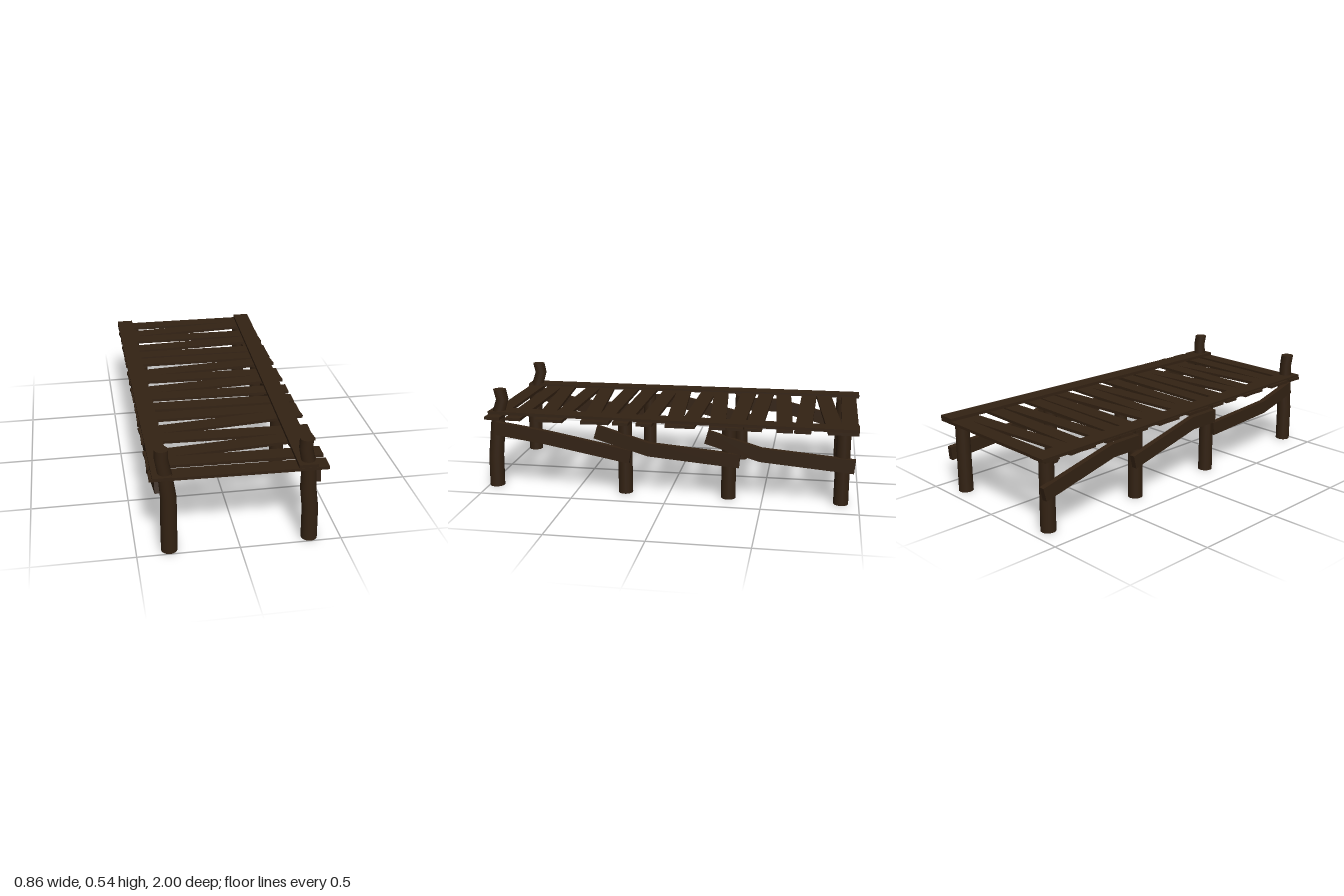
import * as THREE from 'three';

const wood = new THREE.MeshStandardMaterial({ color: 0x332213 });

export function createModel() {
  const model = new THREE.Group();
  const add = (name, geometry) => {
    const mesh = new THREE.Mesh(geometry, wood);
    mesh.name = name;
    model.add(mesh);
    return mesh;
  };

  // Flat board lying between two points [x, z] at height y
  const board = (name, [x0, z0], [x1, z1], y, width, thickness) => {
    const length = Math.hypot(x1 - x0, z1 - z0);
    const mesh = add(name, new THREE.BoxGeometry(length, thickness, width));
    mesh.position.set((x0 + x1) / 2, y, (z0 + z1) / 2);
    mesh.rotation.y = -Math.atan2(z1 - z0, x1 - x0);
  };

  // Crooked round post through rings [x, y, z, radius], bottom to top
  const post = (name, rings) => {
    const n = rings.length - 1;
    const geometry = new THREE.CylinderGeometry(1, 1, 1, 18, n);
    const p = geometry.attributes.position;
    for (let i = 0; i < p.count; i++) {
      const [x, y, z, r] = rings[Math.round((p.getY(i) + 0.5) * n)];
      p.setXYZ(i, x + p.getX(i) * r, y, z + p.getZ(i) * r);
    }
    geometry.computeVertexNormals();
    // keep the caps flat and the sides round
    const normal = geometry.attributes.normal;
    const sideCount = 19 * (n + 1);
    for (let i = 0; i < sideCount; i++) {
      const a = ((i % 19) / 18) * Math.PI * 2;
      normal.setXYZ(i, Math.sin(a), 0, Math.cos(a));
    }
    add(name, geometry);
  };

  // Bent flat brace following three points [z, y] at a given x
  const brace = (name, x, path, height = 0.072, thickness = 0.03) => {
    const pts = path.map(([z, y]) => new THREE.Vector2(z, y));
    const offset = (i, side) => {
      const a = pts[Math.max(i - 1, 0)];
      const b = pts[Math.min(i + 1, pts.length - 1)];
      const d = b.clone().sub(a).normalize();
      return new THREE.Vector2(-d.y, d.x).multiplyScalar(side * height / 2).add(pts[i]);
    };
    const outline = [...pts.map((_, i) => offset(i, 1)), ...pts.map((_, i) => offset(i, -1)).reverse()];
    const geometry = new THREE.ExtrudeGeometry(new THREE.Shape(outline), { depth: thickness, bevelEnabled: false });
    geometry.translate(0, 0, -thickness / 2);
    geometry.rotateY(-Math.PI / 2);
    add(name, geometry).position.x = x;
  };

  // Deck planks: z at the right end (-x) and at the left end (+x)
  const planks = [
    [-0.94, -0.94], [-0.79, -0.87], [-0.715, -0.70], [-0.56, -0.61], [-0.465, -0.45],
    [-0.36, -0.355], [-0.19, -0.265], [-0.125, -0.105], [0.035, -0.035], [0.105, 0.12],
    [0.23, 0.245], [0.345, 0.35], [0.505, 0.415], [0.575, 0.60], [0.745, 0.665],
    [0.815, 0.83], [0.93, 0.945],
  ];
  planks.forEach(([zr, zl], i) =>
    board('deckPlank' + (i + 1), [-0.428, zr], [0.425, zl], 0.397, 0.085, 0.015));

  // Long edge boards on top of the planks
  board('rightEdgeBoard', [-0.382, -1], [-0.368, 0.985], 0.406, 0.092, 0.016);
  board('leftEdgeBoard', [0.378, -0.985], [0.323, 0.985], 0.413, 0.092, 0.016);

  // Front posts rise above the deck with a kink
  post('frontRightPost', [
    [-0.34, 0, 0.96, 0.04], [-0.34, 0.2, 0.958, 0.04], [-0.338, 0.29, 0.95, 0.039],
    [-0.35, 0.4, 0.94, 0.035], [-0.365, 0.48, 0.918, 0.033], [-0.365, 0.535, 0.93, 0.034],
  ]);
  post('frontLeftPost', [
    [0.348, 0, 0.96, 0.04], [0.346, 0.17, 0.958, 0.04], [0.334, 0.28, 0.95, 0.039],
    [0.335, 0.4, 0.94, 0.035], [0.322, 0.48, 0.918, 0.033], [0.322, 0.535, 0.93, 0.034],
  ]);

  // Straight posts under the deck
  [0.235, -0.32, -0.908].forEach((z, i) => {
    for (const [side, x] of [['Right', -0.34], ['Left', 0.348]]) {
      post('straight' + side + 'Post' + (i + 1), [[x, 0, z, 0.039], [x, 0.392, z, 0.037]]);
    }
  });

  // Sloping braces on the outside of the posts
  brace('leftBrace1', 0.382, [[0.94, 0.335], [0.66, 0.295], [0.2, 0.21]]);
  brace('rightBrace1', -0.386, [[0.93, 0.34], [0.68, 0.275], [0.23, 0.25]]);
  [0, -0.59].forEach((dz, i) => {
    brace('leftBrace' + (i + 2), 0.382, [[0.385 + dz, 0.34], [0.1 + dz, 0.256], [-0.38 + dz, 0.216]]);
    brace('rightBrace' + (i + 2), -0.386, [[0.24 + dz, 0.325], [0.06 + dz, 0.325], [-0.38 + dz, 0.22]]);
  });

  return model;
}
